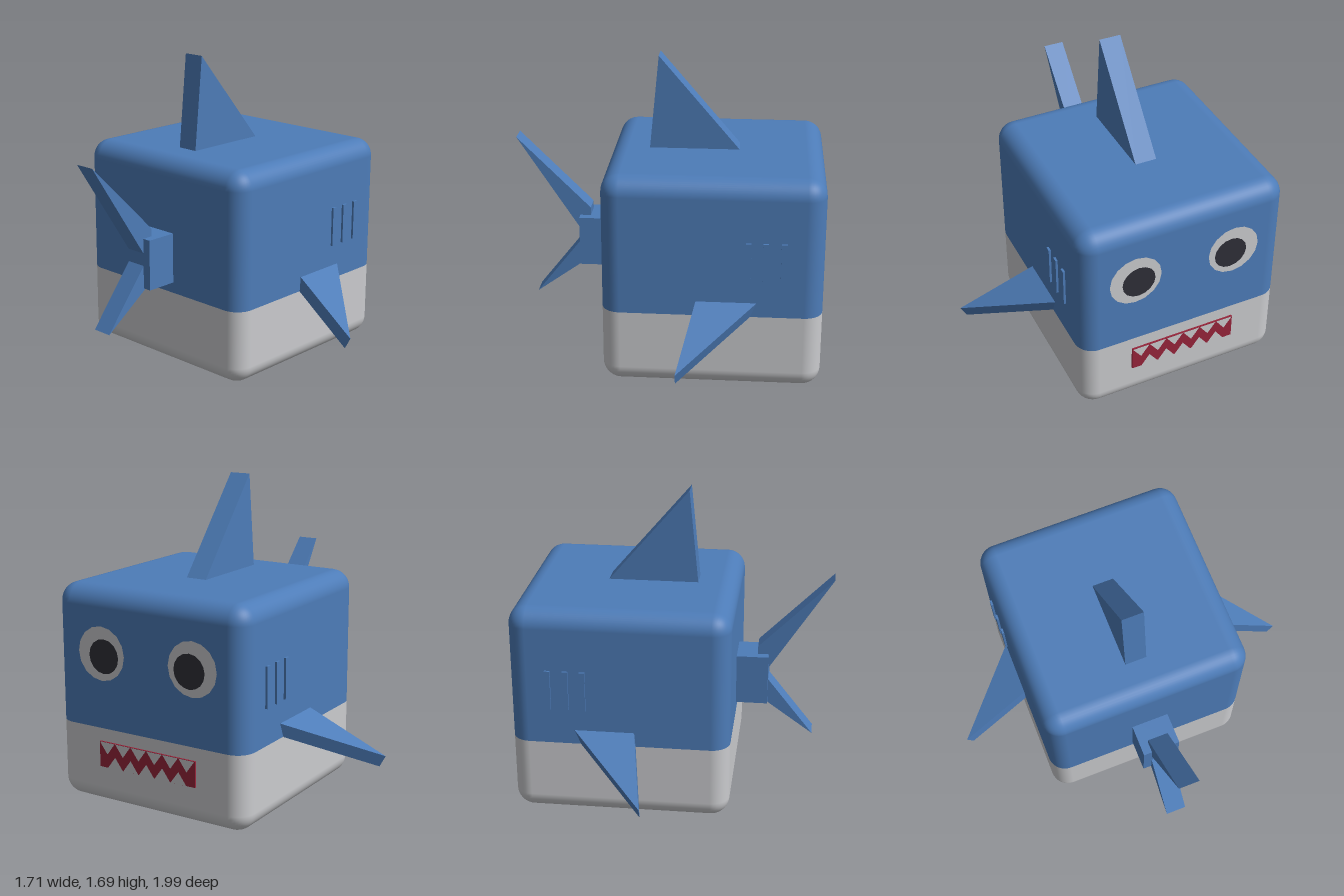
import * as THREE from 'three';
import { RoundedBoxGeometry } from 'three/addons/geometries/RoundedBoxGeometry.js';

const material = (name, color) => {
  const m = new THREE.MeshStandardMaterial({ color });
  m.name = name;
  return m;
};

export function createModel() {
  const blue = material('blue skin', 0x4d7cb8);
  const pale = material('pale belly', 0xcacbce);
  const red = material('red mouth', 0x96243a);
  const dark = material('dark pupil', 0x2f2f37);

  const model = new THREE.Group();
  model.name = 'cubeShark';
  const add = (name, geometry, mat, parent = model) => {
    const mesh = new THREE.Mesh(geometry, mat);
    mesh.name = name;
    parent.add(mesh);
    return mesh;
  };
  const shapeOf = (points) => new THREE.Shape(points.map(([x, y]) => new THREE.Vector2(x, y)));
  const slab = (points, depth) =>
    new THREE.ExtrudeGeometry(shapeOf(points), { depth, bevelEnabled: false });
  const box = (x0, x1, y0, y1, z0, z1) =>
    new THREE.BoxGeometry(x1 - x0, y1 - y0, z1 - z0)
      .translate((x0 + x1) / 2, (y0 + y1) / 2, (z0 + z1) / 2);

  // Body: one rounded cube, cut at the colour line by clamping heights
  const cut = 0.425;
  const bodyHalf = (low, high) => {
    const g = new RoundedBoxGeometry(1.175, 1.175, 1.17, 5, 0.1).translate(0.2525, 0.5875, 0);
    const p = g.attributes.position;
    for (let i = 0; i < p.count; i++) p.setY(i, THREE.MathUtils.clamp(p.getY(i), low, high));
    return g;
  };
  add('upperBody', bodyHalf(cut, 2), blue);
  add('belly', bodyHalf(-1, cut), pale);

  // Dorsal fin
  add('dorsalFin', slab([[-0.117, 1.15], [0.397, 1.15], [-0.065, 1.69]], 0.12), blue)
    .position.z = -0.06;

  // Tail: square stem and forked fin
  add('tailStem', box(-0.51, -0.3, 0.485, 0.765, -0.105, 0.105), blue);
  add('upperTailFin', slab([[-0.855, 1.215], [-0.508, 0.68], [-0.45, 0.6], [-0.45, 0.81]], 0.115), blue)
    .position.z = -0.0575;
  add('lowerTailFin', slab([[-0.765, 0.29], [-0.45, 0.515], [-0.45, 0.69], [-0.508, 0.615]], 0.115), blue)
    .position.z = -0.0575;

  for (const side of [1, -1]) {
    const flank = new THREE.Group();
    flank.name = side > 0 ? 'leftFlank' : 'rightFlank';
    flank.scale.z = side;
    model.add(flank);

    // Side fin, sloping down and outward
    const fin = add('sideFin',
      slab([[0.187, -0.1], [0.576, -0.1], [0.09, 0.465]], 0.072), blue, flank);
    fin.rotation.x = THREE.MathUtils.degToRad(118.3);
    fin.position.set(0, 0.505, 0.585);

    // Gills
    for (const x of [0.442, 0.532, 0.627])
      add('gill', box(x - 0.015, x + 0.015, 0.625, 0.845, 0.57, 0.597), blue, flank);

    // Eye
    const disc = (r, y, z, x) =>
      new THREE.CircleGeometry(r, 16).rotateY(Math.PI / 2).translate(x, y, z * side);
    add('eyeWhite', disc(0.146, 0.83, 0.282, 0.842), pale);
    add('pupil', disc(0.093, 0.817, 0.265, 0.844), dark);
  }

  // Mouth with interlocking rows of teeth
  add('mouth', box(0.82, 0.85, 0.215, 0.355, -0.3, 0.3), red);
  const tooth = (name, z, base, tip) => {
    const a = [z - 0.048, base], b = [z + 0.048, base], c = [z, tip];
    add(name, new THREE.ShapeGeometry(shapeOf([a, b, c])).rotateY(Math.PI / 2), pale)
      .position.x = 0.852;
  };
  for (let i = 0; i < 6; i++) tooth('upperTooth', -0.25 + i * 0.1, 0.354, 0.289);
  for (let i = 0; i < 5; i++) tooth('lowerTooth', -0.2 + i * 0.1, 0.216, 0.281);

  return model;
}
